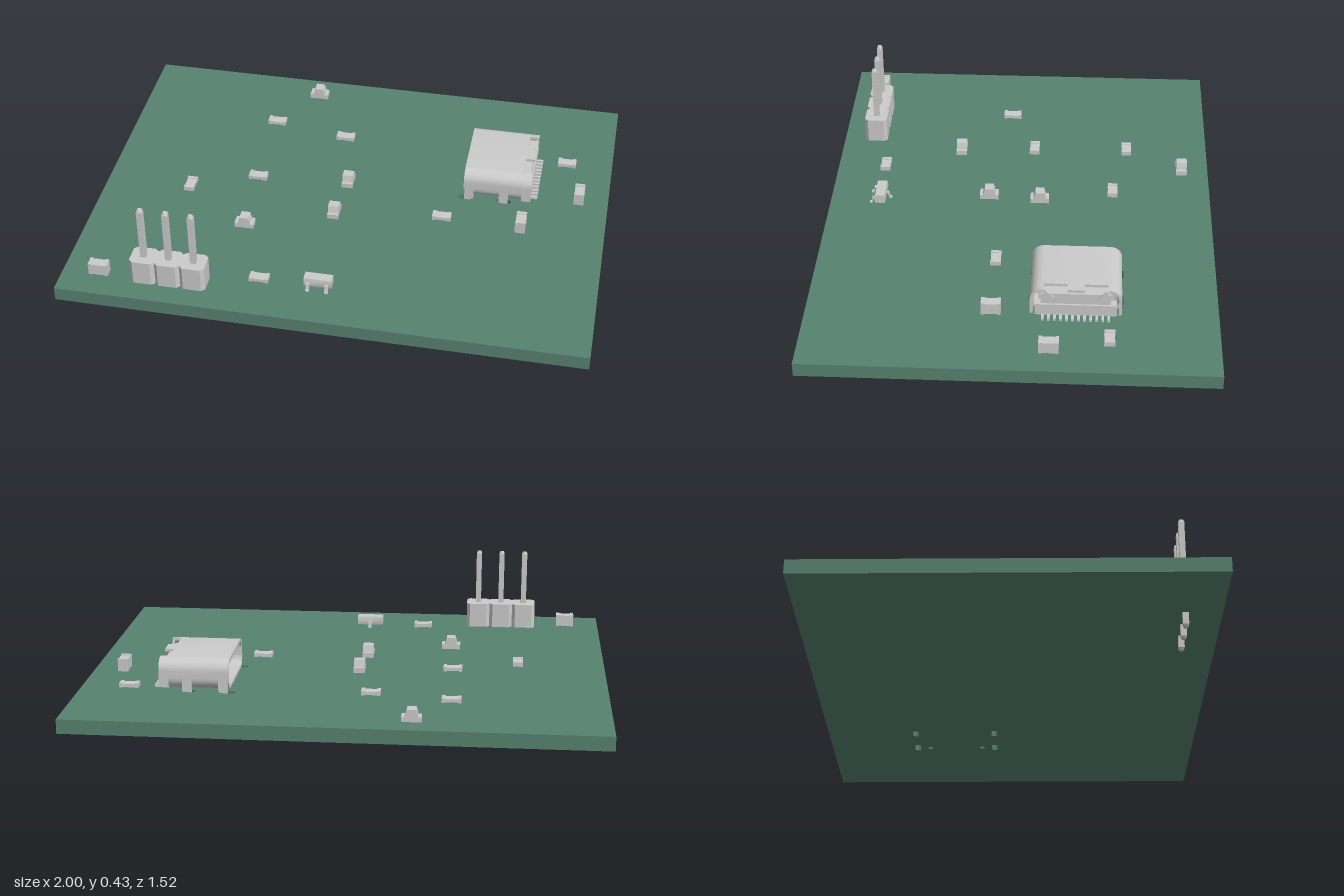
import * as THREE from 'three';
import { toCreasedNormals } from 'three/addons/utils/BufferGeometryUtils.js';

const TOP = 0.11; // upper face of the board
const grey = new THREE.MeshStandardMaterial({ color: 0xcccccc, side: THREE.DoubleSide });
const green = new THREE.MeshStandardMaterial({ color: 0x578270 });

function mesh(name, geometry, parent, material = grey) {
  const m = new THREE.Mesh(geometry, material);
  m.name = name;
  parent.add(m);
  return m;
}

// Box given by its limits on each axis
function box(name, parent, x0, x1, y0, y1, z0, z1) {
  const m = mesh(name, new THREE.BoxGeometry(x1 - x0, y1 - y0, z1 - z0), parent);
  m.position.set((x0 + x1) / 2, (y0 + y1) / 2, (z0 + z1) / 2);
  return m;
}

function group(name, parent, x, y, z, turned = false) {
  const g = new THREE.Group();
  g.name = name;
  g.position.set(x, y, z);
  if (turned) g.rotation.y = Math.PI / 2;
  parent.add(g);
  return g;
}

function polygon(points) {
  return new THREE.Shape(points.map(([x, y]) => new THREE.Vector2(x, y)));
}

function extrude(shape, depth) {
  return toCreasedNormals(
    new THREE.ExtrudeGeometry(shape, { depth, bevelEnabled: false, curveSegments: 8 }), 0.6);
}

// Rounded rectangle, traced on a Shape or Path
function roundRect(path, x0, y0, x1, y1, r) {
  path.moveTo(x0 + r, y0).lineTo(x1 - r, y0);
  path.absarc(x1 - r, y0 + r, r, -Math.PI / 2, 0);
  path.absarc(x1 - r, y1 - r, r, 0, Math.PI / 2);
  path.absarc(x0 + r, y1 - r, r, Math.PI / 2, Math.PI);
  path.absarc(x0 + r, y0 + r, r, Math.PI, Math.PI * 1.5);
  return path;
}

const SOCKET_Z = -0.235;

function addBoard(root) {
  const shape = polygon([[-1, -0.76], [1, -0.76], [1, 0.76], [-1, 0.76]]);
  for (const side of [-1, 1]) {
    const v = -SOCKET_Z + side * 0.163;
    // slots for the socket legs
    for (const [u, half] of [[0.433, 0.028], [0.588, 0.03]]) {
      shape.holes.push(roundRect(new THREE.Path(), u - half, v - 0.013, u + half, v + 0.013, 0.012));
    }
    // round locating holes
    shape.holes.push(new THREE.Path().absarc(0.59, -SOCKET_Z + side * 0.11, 0.012, 0, Math.PI * 2));
  }
  const geometry = extrude(shape, TOP - 0.055);
  geometry.rotateX(-Math.PI / 2).translate(0, 0.055, 0);
  mesh('board', geometry, root, green);
}

function addPinHeader(root) {
  const header = group('pinHeader', root, -0.586, 0, 0.627);
  const w = 0.048, d = 0.046, c = 0.013;
  const outline = polygon([[-w + c, -d], [w - c, -d], [w, -d + c], [w, d - c],
    [w - c, d], [-w + c, d], [-w, d - c], [-w, -d + c]]);
  for (const i of [-1, 0, 1]) {
    const x = i * 0.096;
    const block = extrude(outline, 0.1);
    block.rotateX(-Math.PI / 2).translate(x, TOP, 0);
    mesh('headerBlock', block, header);
    // square pin with tapered tips
    const h = 0.011;
    box('pin', header, x - h, x + h, 0.01, 0.423, -h, h);
    for (const end of [0, 1]) {
      const tip = mesh('pinTip', new THREE.CylinderGeometry(0.0095, h * Math.SQRT2, 0.01, 4), header);
      tip.rotation.set(end ? 0 : Math.PI, Math.PI / 4, 0);
      tip.position.set(x, end ? 0.428 : 0.005, 0);
    }
  }
}

// Two-terminal chip: a body with a slightly larger cap at each end
function addChip(root, name, x, z, height, turned) {
  const chip = group(name, root, x, TOP, z, turned);
  const w = 0.0365, d = 0.02;
  box('chipBody', chip, -w + 0.012, w - 0.012, 0.002, height - 0.003, -d + 0.001, d - 0.001);
  for (const s of [-1, 1]) {
    const a = s * w, b = s * (w - 0.013);
    box('chipTerminal', chip, Math.min(a, b), Math.max(a, b), 0, height, -d, d);
  }
}

// Indicator lamp: flat base with end terminals and a sloped lens
function addLamp(root, x, z, turned) {
  const lamp = group('indicatorLamp', root, x, TOP, z, turned);
  box('lampBase', lamp, -0.026, 0.026, 0, 0.018, -0.021, 0.021);
  for (const s of [-1, 1]) {
    box('lampTerminal', lamp, s * 0.031 - 0.006, s * 0.031 + 0.006, 0, 0.02, -0.022, 0.022);
  }
  const lens = extrude(polygon([[-0.025, 0.018], [0.025, 0.018], [0.017, 0.047], [-0.017, 0.047]]), 0.042);
  mesh('lampLens', lens.translate(0, 0, -0.021), lamp);
}

function addTransistor(root) {
  const part = group('transistor', root, -0.031, TOP, 0.559);
  // body with sloped sides
  const body = extrude(polygon([[-0.019, 0.009], [0.019, 0.009], [0.023, 0.026],
    [0.019, 0.044], [-0.019, 0.044], [-0.023, 0.026]]), 0.106);
  mesh('transistorBody', body.rotateY(-Math.PI / 2).translate(0.053, 0, 0), part);
  // bent leads: two in front, one behind
  const lead = polygon([[0.02, 0.022], [0.027, 0.022], [0.032, 0.0], [0.043, 0.0],
    [0.043, 0.005], [0.036, 0.005], [0.031, 0.028], [0.02, 0.028]]);
  for (const [x, back] of [[-0.036, false], [0.036, false], [0, true]]) {
    const g = extrude(lead, 0.014).translate(0, 0, -0.007);
    g.rotateY(back ? Math.PI / 2 : -Math.PI / 2);
    mesh('transistorLead', g.translate(x, 0, 0), part);
  }
}

function addSocket(root) {
  const socket = group('socket', root, 0, 0, SOCKET_Z);
  const W = 0.168, Y0 = 0.115, Y1 = 0.235, R = 0.046, T = 0.011;

  // hollow metal shell, open toward -x
  const ring = roundRect(new THREE.Shape(), -W, Y0, W, Y1, R);
  ring.holes.push(roundRect(new THREE.Path(), -W + T, Y0 + T, W - T, Y1 - T, R - T));
  mesh('socketShell', extrude(ring, 0.232).rotateY(Math.PI / 2).translate(0.428, 0, 0), socket);

  // rear corners of the shell, either side of the cut-out
  for (const s of [-1, 1]) {
    const side = new THREE.Shape();
    side.moveTo(s * 0.118, Y1).lineTo(s * (W - R), Y1);
    side.absarc(s * (W - R), Y1 - R, R, Math.PI / 2, s > 0 ? 0 : Math.PI, s > 0);
    side.lineTo(s * W, Y0 + 0.01).lineTo(s * (W - T), Y0 + 0.01).lineTo(s * (W - T), Y1 - R);
    side.absarc(s * (W - R), Y1 - R, R - T, s > 0 ? 0 : Math.PI, Math.PI / 2, s < 0);
    side.lineTo(s * 0.118, Y1 - T);
    mesh('shellRearCorner', extrude(side, 0.036).rotateY(Math.PI / 2).translate(0.659, 0, 0), socket);

    // legs reaching into the board slots
    for (const x of [0.45, 0.588]) {
      const a = s * (W - T), b = s * W;
      box('shellLeg', socket, x - 0.018, x + 0.018, 0.075, 0.17, Math.min(a, b), Math.max(a, b));
    }
    // locating pegs
    const peg = mesh('locatingPeg', new THREE.CylinderGeometry(0.01, 0.01, 0.04, 12), socket);
    peg.position.set(0.59, 0.1, s * 0.11);

    // slanted spring tab on the rear wall
    const tab = mesh('rearTab', new THREE.BoxGeometry(0.006, 0.048, 0.012), socket);
    tab.position.set(0.69, 0.207, s * 0.1);
    tab.rotation.x = s * 0.75;
  }

  // rear shell strip, insulating core and the tongue inside
  box('shellRearStrip', socket, 0.659, 0.695, Y1 - T, Y1, -0.032, 0.032);
  box('rearCore', socket, 0.625, 0.687, 0.118, 0.21, -0.128, 0.128);
  box('rearLip', socket, 0.66, 0.694, 0.118, 0.165, -0.15, 0.15);
  box('coreWall', socket, 0.6, 0.628, Y0 + 0.005, Y1 - 0.005, -0.14, 0.14);
  box('tongue', socket, 0.455, 0.61, 0.166, 0.185, -0.115, 0.115);

  // row of solder contacts
  for (let i = 0; i < 12; i++) {
    const z = -0.121 + i * 0.022;
    box('contact', socket, 0.68, 0.72, TOP, TOP + 0.01, z - 0.005, z + 0.005);
  }
}

export function createModel() {
  const root = new THREE.Group();
  root.name = 'circuitBoard';
  addBoard(root);
  addPinHeader(root);
  addSocket(root);
  addTransistor(root);

  // flat chips: x, z, turned
  for (const [x, z, turned] of [[-0.413, -0.427, false], [-0.108, -0.37, false], [-0.405, -0.044, false],
    [-0.66, 0.06, true], [-0.257, 0.565, false], [0.363, 0.075, false], [0.817, -0.36, false]]) {
    addChip(root, 'resistor', x, z, 0.018, turned);
  }
  // tall chips
  for (const [x, z, turned] of [[-0.86, 0.638, false], [0.884, -0.142, true], [0.674, 0.076, true]]) {
    addChip(root, 'capacitor', x, z, 0.05, turned);
  }
  for (const [x, z, turned] of [[-0.277, -0.652, false], [-0.387, 0.26, false],
    [-0.04, -0.078, true], [-0.058, 0.126, true]]) {
    addLamp(root, x, z, turned);
  }
  return root;
}
